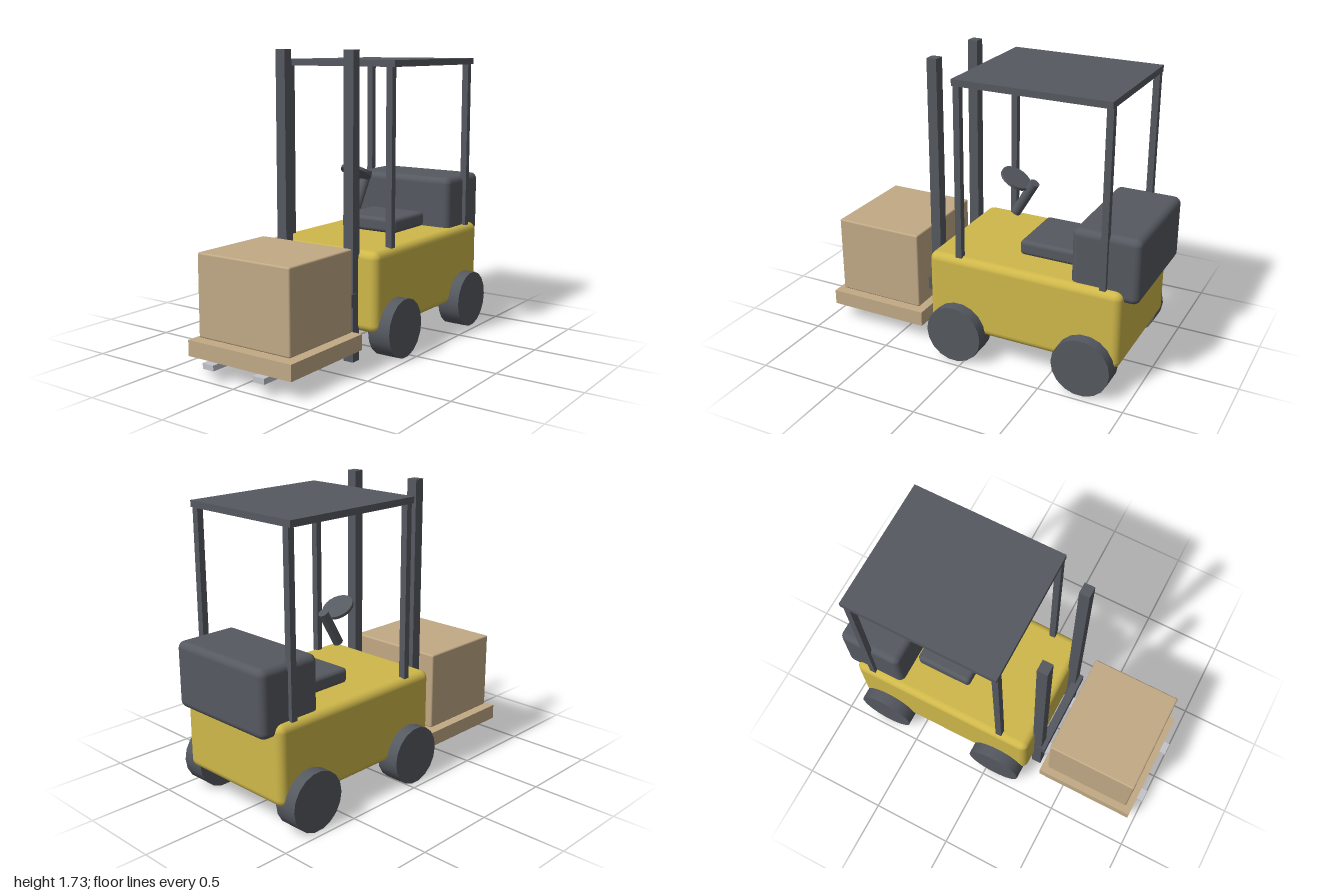
import * as THREE from 'three';
import { RoundedBoxGeometry } from 'three/addons/geometries/RoundedBoxGeometry.js';

function makeMaterial(name, color) {
  const m = new THREE.MeshStandardMaterial({ color });
  m.name = name;
  return m;
}

export function createModel() {
  const yellow = makeMaterial('yellow paint', 0xcfb84a);
  const dark = makeMaterial('dark grey', 0x555960);
  const wood = makeMaterial('cardboard tan', 0xc1a985);
  const steel = makeMaterial('light steel', 0xc2c5ca);

  const model = new THREE.Group();
  model.name = 'forklift';

  function add(name, geometry, material, x, y, z) {
    const mesh = new THREE.Mesh(geometry, material);
    mesh.name = name;
    mesh.position.set(x, y, z);
    model.add(mesh);
    return mesh;
  }

  // Box given by its minimum and maximum corners; radius rounds the edges
  function block(name, material, [x0, y0, z0], [x1, y1, z1], radius = 0) {
    const size = [x1 - x0, y1 - y0, z1 - z0];
    const geometry = radius
      ? new RoundedBoxGeometry(...size, 3, radius)
      : new THREE.BoxGeometry(...size);
    return add(name, geometry, material, (x0 + x1) / 2, (y0 + y1) / 2, (z0 + z1) / 2);
  }

  // Chassis, counterweight and seat
  block('body', yellow, [-0.39, 0.165, -0.92], [0.39, 0.63, 0.25], 0.045);
  block('counterweight', dark, [-0.35, 0.56, -1], [0.35, 0.94, -0.61], 0.04);
  block('seat', dark, [-0.195, 0.635, -0.585], [0.195, 0.725, -0.235], 0.025);

  // Steering column and wheel share the same backward tilt
  const tilt = -0.53;
  add('steeringColumn', new THREE.CylinderGeometry(0.03, 0.03, 0.235, 16), dark, 0, 0.902, -0.175).rotation.x = tilt;
  add('steeringWheel', new THREE.CylinderGeometry(0.093, 0.093, 0.018, 20), dark, 0, 1.01, -0.115).rotation.x = tilt;

  // Overhead guard
  block('roof', dark, [-0.39, 1.635, -0.825], [0.39, 1.672, 0.08]);

  for (const side of [-1, 1]) {
    const label = side > 0 ? 'left' : 'right';
    const wheel = new THREE.CylinderGeometry(0.172, 0.172, 0.14, 18).rotateZ(Math.PI / 2);
    const post = new THREE.BoxGeometry(0.04, 1.01, 0.037);
    for (const [end, wheelZ, postZ] of [['Front', 0.058, 0.061], ['Rear', -0.728, -0.806]]) {
      add(`${label}${end}Wheel`, wheel, dark, side * 0.39, 0.172, wheelZ);
      add(`${label}${end}Post`, post, dark, side * 0.354, 1.13, postZ);
    }
    // Mast rail and fork
    add(`${label}MastRail`, new THREE.BoxGeometry(0.065, 1.73, 0.06), dark, side * 0.234, 0.865, 0.27);
    add(`${label}Fork`, new THREE.BoxGeometry(0.075, 0.032, 0.7), steel, side * 0.173, 0.084, 0.65);
  }

  // Carriage bar across the mast
  block('carriage', dark, [-0.273, 0.32, 0.275], [0.273, 0.395, 0.325]);

  // Load
  block('pallet', wood, [-0.352, 0.1, 0.335], [0.352, 0.19, 0.96]);
  block('crate', wood, [-0.312, 0.2, 0.373], [0.312, 0.668, 0.918], 0.01);

  return model;
}
